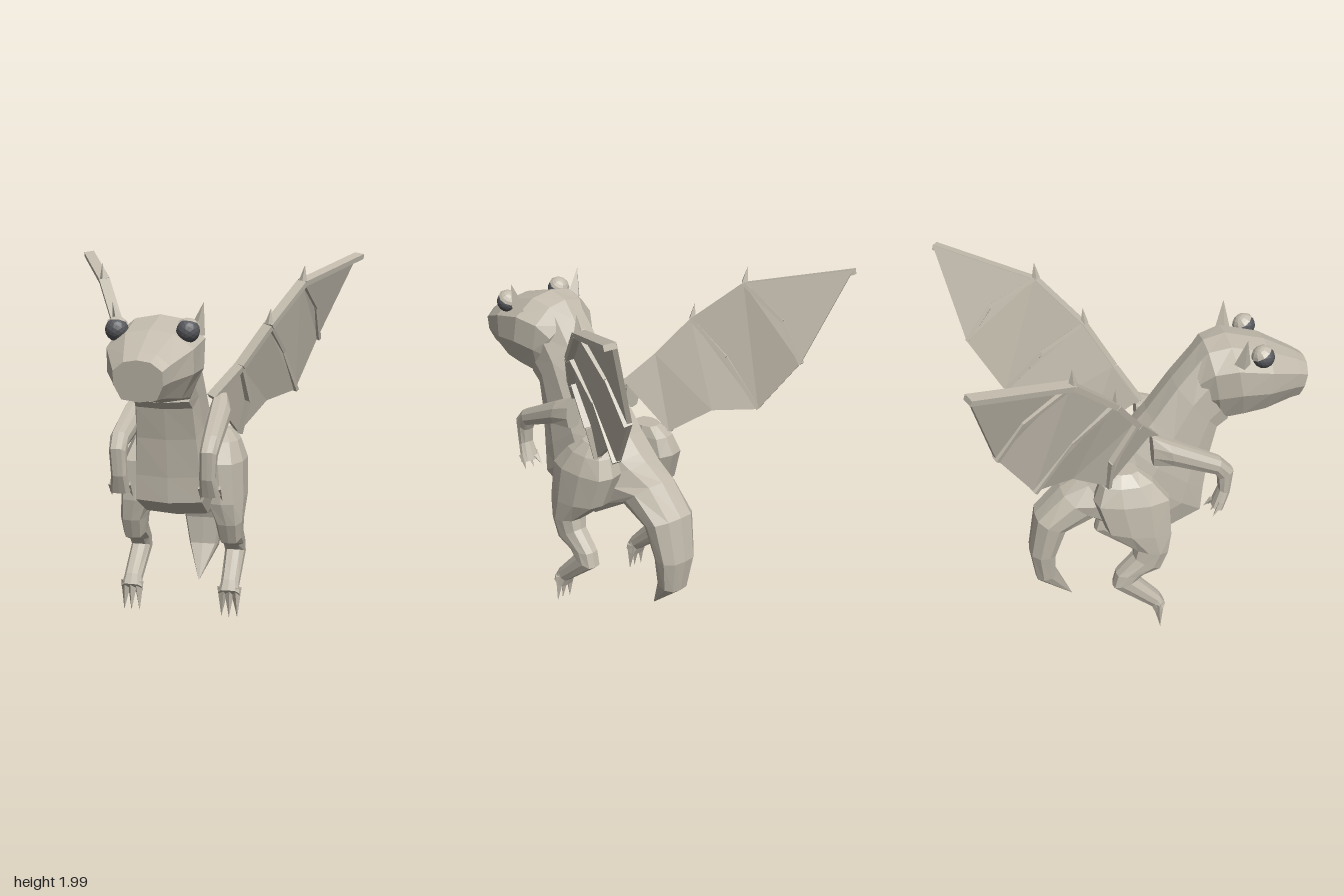
import * as THREE from 'three';

const skin = new THREE.MeshStandardMaterial({ color: 0xc2bbad });
skin.name = 'stoneSkin';
const eyeDark = new THREE.MeshStandardMaterial({ color: 0x58595d });
eyeDark.name = 'darkEye';

const V = (x, y, z) => new THREE.Vector3(x, y, z);

// Faceted geometry from a flat list of triangle corners
function fromCorners(pts) {
  const g = new THREE.BufferGeometry().setFromPoints(pts);
  g.computeVertexNormals();
  return g;
}

// Loft: each section is [z0, y0, z1, y1, halfWidth, centreX]; half runs from edge 0 to edge 1
function loft(sections, half) {
  const ring = [...half, ...half.slice(1, -1).reverse().map(([s, t]) => [-s, t])];
  const rings = sections.map(([z0, y0, z1, y1, w, cx = 0]) =>
    ring.map(([s, t]) => V(cx + w * s, y0 + (y1 - y0) * t, z0 + (z1 - z0) * t)));
  const out = [], n = ring.length;
  const middle = r => r.reduce((m, p) => m.add(p), V(0, 0, 0)).divideScalar(n);
  const first = rings[0], last = rings[rings.length - 1];
  const c0 = middle(first), c1 = middle(last);
  for (let j = 0; j < n; j++) {
    const k = (j + 1) % n;
    for (let i = 0; i + 1 < rings.length; i++) {
      const a = rings[i], b = rings[i + 1];
      out.push(a[j], a[k], b[j], a[k], b[k], b[j]);
    }
    out.push(c0, first[k], first[j], c1, last[j], last[k]);
  }
  return fromCorners(out);
}

// Tapered spike from a to b
function spike(a, b, r, sides = 4) {
  const d = b.clone().sub(a), h = d.length();
  const g = new THREE.ConeGeometry(r, h, sides).translate(0, h / 2, 0);
  g.applyQuaternion(new THREE.Quaternion().setFromUnitVectors(V(0, 1, 0), d.normalize()));
  return g.translate(a.x, a.y, a.z);
}

// Square bar from a to b, raised from the surface along n
function bar(a, b, n, width, height) {
  const d = b.clone().sub(a), len = d.length();
  d.normalize();
  const side = n.clone().cross(d).normalize(), up = d.clone().cross(side);
  const g = new THREE.BoxGeometry(len, width, height).translate(len / 2, 0, height / 2);
  return g.applyMatrix4(new THREE.Matrix4().makeBasis(d, side, up).setPosition(a));
}

function add(group, name, geo, mat = skin) {
  const g = geo.index ? geo.toNonIndexed() : geo;
  g.computeVertexNormals();
  const m = new THREE.Mesh(g, mat);
  m.name = name;
  group.add(m);
}

// Right-hand copy of a left-hand group, with corner order restored
function mirrored(group, name) {
  const out = new THREE.Group();
  out.name = name;
  for (const m of group.children) {
    const p = m.geometry.getAttribute('position'), pts = [];
    for (let i = 0; i < p.count; i += 3)
      for (const k of [0, 2, 1]) pts.push(V(-p.getX(i + k), p.getY(i + k), p.getZ(i + k)));
    add(out, m.name, fromCorners(pts), m.material);
  }
  return out;
}

function wing() {
  const g = new THREE.Group();
  const n = V(0.87, -0.17, 0.46).normalize();
  const root = V(0.15, 1.26, 0.06), mid = V(0.28, 1.42, -0.06), A = V(0.41, 1.63, -0.2),
    B = V(0.56, 1.86, -0.44), tip = V(0.82, 2.0, -0.96), C = V(0.6, 1.5, -0.83),
    D = V(0.5, 1.21, -0.64), E = V(0.37, 1.17, -0.42), F = V(0.25, 1.01, -0.21);
  const up = (p, h) => p.clone().addScaledVector(n, h);
  // membrane slab
  const pts = [];
  const tris = [[root, mid, F], [mid, E, F], [mid, A, E], [A, D, E], [A, B, D], [B, C, D], [B, tip, C]];
  for (const [a, b, c] of tris) pts.push(a, b, c, up(a, 0.025), up(c, 0.025), up(b, 0.025));
  const rim = [root, mid, A, B, tip, C, D, E, F];
  rim.forEach((a, i) => {
    const b = rim[(i + 1) % rim.length];
    pts.push(a, up(a, 0.025), b, b, up(a, 0.025), up(b, 0.025));
  });
  add(g, 'membrane', fromCorners(pts));
  // leading edge frame
  const lead = [root, mid, A, B, tip];
  for (let i = 0; i < 4; i++) {
    const inset = V(0, -0.012, -0.002);
    add(g, 'leadingEdge', bar(lead[i].clone().add(inset), lead[i + 1].clone().add(inset), n, 0.03, 0.062));
  }
  // bent finger struts
  const fingers = [
    [mid, V(0.3, 1.2, -0.2), F],
    [A, V(0.45, 1.46, -0.43), D],
    [B, V(0.6, 1.7, -0.69), C],
  ];
  for (const [a, b, c] of fingers) {
    add(g, 'wingFinger', bar(a, b, n, 0.022, 0.05));
    add(g, 'wingFinger', bar(b, c, n, 0.022, 0.045));
  }
  // joint claws
  for (const p of [A, B]) {
    const base = up(p, 0.035);
    add(g, 'wingClaw', spike(base, base.clone().add(V(0.01, 0.09, -0.005)), 0.024));
  }
  return g;
}

const limb = [[0, 0], [0.7, 0.05], [1, 0.35], [1, 0.7], [0.65, 0.97], [0, 1]];

function arm() {
  const g = new THREE.Group();
  add(g, 'arm', loft([
    [0.06, 1.08, 0.05, 1.27, 0.05, 0.22],
    [0.17, 1.08, 0.14, 1.23, 0.06, 0.235],
    [0.40, 1.00, 0.43, 1.09, 0.05, 0.25],
    [0.42, 0.96, 0.505, 1.01, 0.045, 0.245],
    [0.43, 0.88, 0.49, 0.86, 0.042, 0.24],
    [0.39, 0.78, 0.45, 0.76, 0.055, 0.245],
  ], limb));
  for (const x of [0.2, 0.245, 0.29]) {
    add(g, 'finger', spike(V(x, 0.81, 0.435), V(x + (x - 0.245) * 0.3, 0.735, 0.385), 0.02));
  }
  add(g, 'thumb', spike(V(0.22, 0.8, 0.4), V(0.21, 0.75, 0.355), 0.016));
  return g;
}

function leg() {
  const g = new THREE.Group();
  add(g, 'leg', loft([
    [-0.17, 1.05, -0.02, 1.05, 0.06, 0.19],
    [-0.23, 0.99, 0.06, 0.99, 0.09, 0.21],
    [-0.27, 0.89, 0.15, 0.88, 0.115, 0.225],
    [-0.21, 0.71, 0.16, 0.66, 0.105, 0.245],
    [-0.05, 0.58, 0.135, 0.54, 0.075, 0.272],
    [-0.06, 0.52, 0.09, 0.43, 0.065, 0.275],
    [-0.16, 0.41, 0.0, 0.40, 0.058, 0.275],
    [-0.18, 0.325, -0.04, 0.365, 0.055, 0.275],
    [0.04, 0.155, 0.09, 0.225, 0.05, 0.28],
    [0.06, 0.11, 0.12, 0.17, 0.06, 0.28],
  ], limb));
  for (const i of [-1, 0, 1]) {
    add(g, 'toe', spike(V(0.28 + i * 0.036, 0.18, 0.08), V(0.282 + i * 0.045, 0.01, 0.09 + (i ? 0 : 0.01)), 0.033));
  }
  return g;
}

function face() {
  const g = new THREE.Group();
  const c = V(0.185, 1.652, 0.665);
  add(g, 'eye', new THREE.IcosahedronGeometry(0.06, 2).translate(c.x, c.y, c.z), eyeDark);
  // lid over the top rear of the eye
  const lid = new THREE.SphereGeometry(0.066, 10, 4, 0, Math.PI * 2, 0, 1.15).rotateX(-0.55);
  add(g, 'eyelid', lid.translate(c.x, c.y, c.z));
  add(g, 'horn', spike(V(0.2, 1.63, 0.545), V(0.24, 1.79, 0.557), 0.045));
  return g;
}

export function createModel() {
  const model = new THREE.Group();
  model.name = 'dragon';

  // neck, trunk and tail
  add(model, 'body', loft([
    [0.34, 1.64, 0.50, 1.26, 0.17],
    [0.21, 1.48, 0.44, 1.22, 0.175],
    [0.07, 1.29, 0.40, 1.05, 0.185],
    [-0.06, 1.14, 0.37, 0.84, 0.205],
    [-0.15, 1.04, 0.36, 0.70, 0.21],
    [-0.24, 0.96, 0.17, 0.60, 0.2],
    [-0.29, 0.925, -0.04, 0.57, 0.18],
    [-0.42, 0.85, -0.25, 0.70, 0.15],
    [-0.57, 0.69, -0.41, 0.62, 0.14],
    [-0.61, 0.44, -0.47, 0.44, 0.115],
    [-0.58, 0.25, -0.47, 0.28, 0.085],
    [-0.37, 0.08, -0.37, 0.08, 0.002],
  ], [[0, 0], [0.6, 0.05], [1, 0.35], [1, 0.75], [0.87, 0.97], [0, 1]]));

  // head, from snout to nape
  add(model, 'head', loft([
    [0.955, 1.53, 0.915, 1.32, 0.125],
    [0.90, 1.565, 0.86, 1.32, 0.15],
    [0.72, 1.66, 0.70, 1.295, 0.225],
    [0.50, 1.72, 0.58, 1.28, 0.24],
    [0.38, 1.69, 0.46, 1.25, 0.2],
    [0.30, 1.59, 0.42, 1.27, 0.155],
  ], [[0, 0], [0.55, 0.05], [1, 0.26], [1, 0.6], [0.72, 0.94], [0, 1]]));

  // paired parts
  for (const [name, part] of [['Wing', wing()], ['Arm', arm()], ['Leg', leg()], ['Face', face()]]) {
    part.name = 'left' + name;
    model.add(part, mirrored(part, 'right' + name));
  }
  return model;
}
